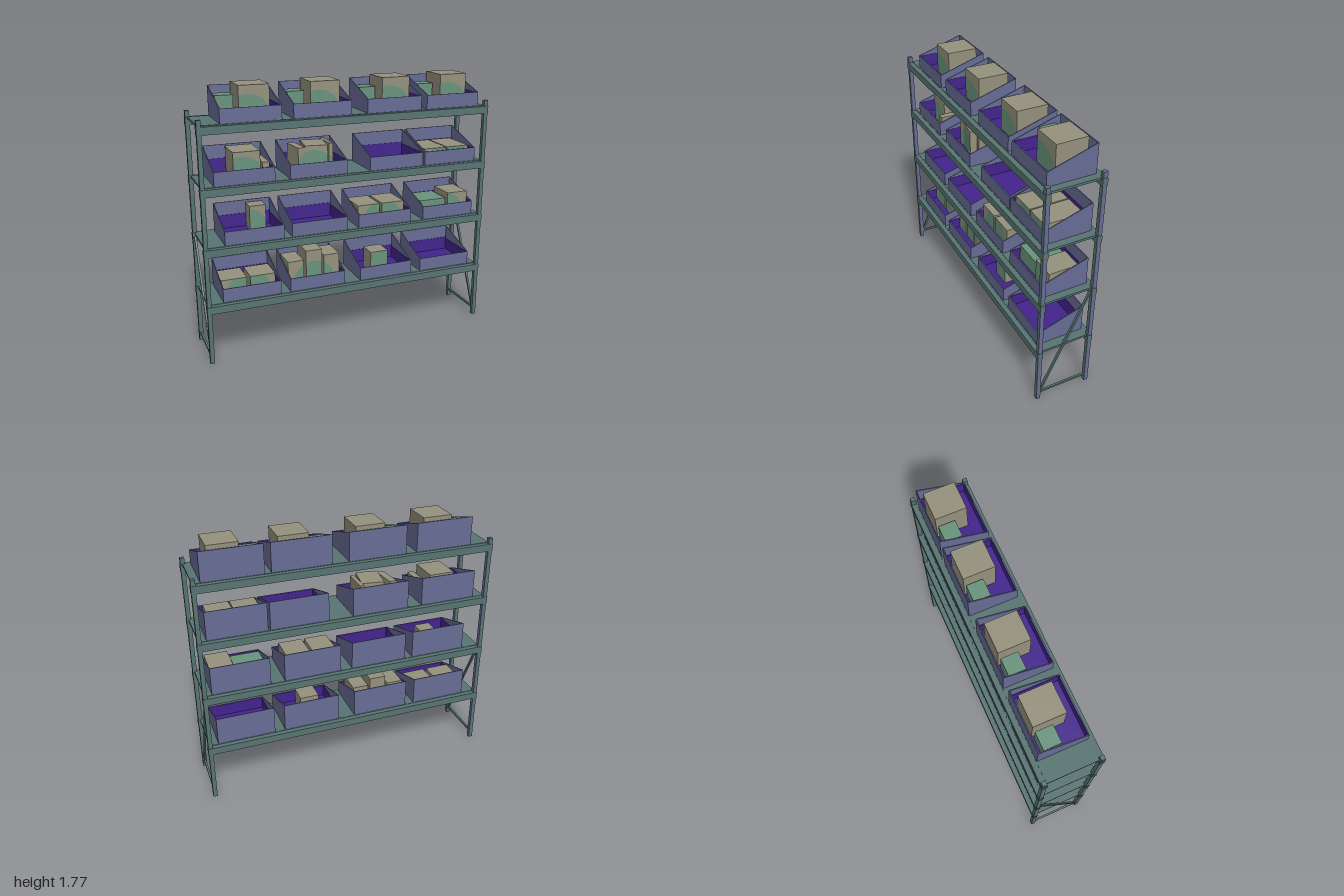
import * as THREE from 'three';

const mat = (name, color, side = THREE.FrontSide) => {
  const m = new THREE.MeshStandardMaterial({ color, side });
  m.name = name;
  return m;
};

export function createModel() {
  const frame = mat('frame green', 0x587573);
  const blue = mat('bin blue', 0x686d96);
  const purple = mat('liner purple', 0x43248e);
  const tan = mat('carton tan', 0x96927e);
  const mint = mat('carton green', 0x6a947e);

  const model = new THREE.Group();
  model.name = 'storageRack';

  // Box given by its minimum and maximum corners
  const box = (parent, name, material, [x0, y0, z0], [x1, y1, z1]) => {
    const mesh = new THREE.Mesh(new THREE.BoxGeometry(x1 - x0, y1 - y0, z1 - z0), material);
    mesh.position.set((x0 + x1) / 2, (y0 + y1) / 2, (z0 + z1) / 2);
    mesh.name = name;
    parent.add(mesh);
    return mesh;
  };

  // Uprights and end braces
  for (const s of [-1, 1]) {
    for (const t of [-1, 1]) {
      const post = box(model, 'post', [blue, frame, frame, frame, frame, frame],
        [-0.014, 0, -0.014], [0.014, 1.6, 0.014]);
      post.position.x = s * 0.984;
      post.position.z = t * 0.179;
    }
    const x = s * 0.984;
    box(model, 'footBrace', frame, [x - 0.007, 0.043, -0.165], [x + 0.007, 0.057, 0.165]);
    const dy = 0.73, dz = -0.335;
    const brace = new THREE.Mesh(new THREE.BoxGeometry(0.014, Math.hypot(dy, dz), 0.014), frame);
    brace.position.set(x, 0.415, 0);
    brace.rotation.x = Math.atan2(dz, dy);
    brace.name = 'diagonalBrace';
    model.add(brace);
  }

  // Shelves: a front and back beam with a thin deck between
  const shelfTops = [0.4, 0.785, 1.175, 1.56];
  for (const y of shelfTops) {
    for (const t of [-1, 1]) {
      const beam = box(model, 'shelfBeam', frame, [-1, y - 0.05, -0.0175], [1, y, 0.0175]);
      beam.position.z = t * 0.1785;
    }
    box(model, 'shelfDeck', frame, [-0.985, y - 0.012, -0.163], [0.985, y + 0.003, 0.163]);
  }

  // Open bin with a sloping rim and a coloured lining in its lower half
  const W = 0.39, ZB = -0.16, ZF = 0.158, HB = 0.192, HF = 0.092, T = 0.006;
  const sideShape = new THREE.Shape([
    new THREE.Vector2(-ZF, 0), new THREE.Vector2(-ZB, 0),
    new THREE.Vector2(-ZB, HB), new THREE.Vector2(-ZF, HF),
  ]);
  const sideGeometry = new THREE.ExtrudeGeometry(sideShape, { depth: T, bevelEnabled: false });
  sideGeometry.rotateY(Math.PI / 2);
  const makeBin = () => {
    const bin = new THREE.Group();
    bin.name = 'bin';
    box(bin, 'binFloor', blue, [0, 0, ZB], [W, T, ZF]);
    box(bin, 'binBack', blue, [T, T, ZB], [W - T, HB, ZB + T]);
    box(bin, 'binFront', blue, [T, T, ZF - T], [W - T, HF, ZF]);
    for (const x of [0, W - T]) {
      const side = new THREE.Mesh(sideGeometry, blue);
      side.position.x = x;
      side.name = 'binSide';
      bin.add(side);
    }
    const a = T + 0.003, h = 0.102, hf = HF - 0.002;
    box(bin, 'liningFloor', purple, [T, T, ZB + T], [W - T, T + 0.003, ZF - T]);
    box(bin, 'liningBack', purple, [T, T, ZB + T], [W - T, h, ZB + a]);
    box(bin, 'liningFront', purple, [T, T, ZF - a], [W - T, hf, ZF - T]);
    for (const x of [T, W - a]) box(bin, 'liningSide', purple, [x, T, ZB + T], [x + 0.003, hf, ZF - T]);
    return bin;
  };

  // Green rounded patch on a carton front, cut from a circle centred on the bin
  const R = 0.15;
  const addPatch = (carton, cx, w, h) => {
    const arc = (x) => Math.min(h, Math.sqrt(Math.max(0, R * R - (cx + x - W / 2) ** 2)));
    const x0 = Math.max(-w / 2, W / 2 - R - cx), x1 = Math.min(w / 2, W / 2 + R - cx);
    if (x1 - x0 < 0.01) return;
    const shape = new THREE.Shape();
    shape.moveTo(x0, 0.001);
    shape.lineTo(x1, 0.001);
    for (let i = 0; i <= 12; i++) {
      const x = x1 + (x0 - x1) * i / 12;
      shape.lineTo(x, Math.max(0.002, arc(x)));
    }
    const patch = new THREE.Mesh(new THREE.ShapeGeometry(shape), mint);
    patch.name = 'cartonPatch';
    carton.add(patch);
    return patch;
  };

  // Carton: left offset, width, height, back z, front z, material, turn
  const addCarton = (bin, [x, w, h, z0, z1, material = tan, turn = 0]) => {
    const carton = new THREE.Group();
    carton.name = 'carton';
    const floor = T + 0.003, d = z1 - z0;
    box(carton, 'cartonBody', material, [-w / 2, 0, -d / 2], [w / 2, h - floor, d / 2]);
    carton.position.set(x + w / 2, floor, (z0 + z1) / 2);
    carton.rotation.y = turn;
    if (material === tan) {
      const patch = addPatch(carton, x + w / 2, w, h - floor);
      if (patch) patch.position.z = d / 2 + 0.001;
    }
    bin.add(carton);
  };

  // Bins of each shelf, bottom to top: left edge, then the cartons inside
  const pair = [[0.012, 0.115, 0.145, -0.12, -0.01, mint], [0.14, 0.197, 0.212, -0.13, 0.075]];
  const rows = [
    [
      [-0.885, [0.01, 0.17, 0.115, -0.11, 0.07], [0.205, 0.17, 0.115, -0.11, 0.07]],
      [-0.43, [0.012, 0.11, 0.175, -0.11, 0.07], [0.14, 0.115, 0.237, -0.11, 0.07],
        [0.27, 0.11, 0.19, -0.11, 0.07]],
      [0.075, [0.115, 0.13, 0.158, -0.06, 0.07]],
      [0.535],
    ],
    [
      [-0.855, [0.215, 0.11, 0.178, -0.14, -0.04]],
      [-0.41],
      [0.06, [0.012, 0.16, 0.14, -0.1, 0.11], [0.19, 0.165, 0.14, -0.1, 0.11]],
      [0.545, [0.012, 0.2, 0.115, -0.11, 0.09, mint], [0.225, 0.155, 0.152, -0.1, 0.1]],
    ],
    [
      [-0.905, [0.14, 0.175, 0.188, -0.12, 0.09], [0.318, 0.045, 0.12, -0.06, 0.13]],
      [-0.415, [0.07, 0.05, 0.178, -0.1, 0.08, tan, 0.1], [0.14, 0.15, 0.188, -0.1, 0.09, tan, -0.15],
        [0.3, 0.028, 0.188, -0.12, 0.06]],
      [0.14],
      [0.545, [0.012, 0.165, 0.106, -0.13, 0.13], [0.185, 0.165, 0.106, -0.13, 0.13]],
    ],
    [-0.85, -0.385, 0.115, 0.547].map((x) => [x, ...pair]),
  ];
  rows.forEach((row, i) => {
    for (const [x, ...cartons] of row) {
      const bin = makeBin();
      bin.position.set(x, shelfTops[i] + 0.003, 0);
      cartons.forEach((c) => addCarton(bin, c));
      model.add(bin);
    }
  });

  return model;
}
